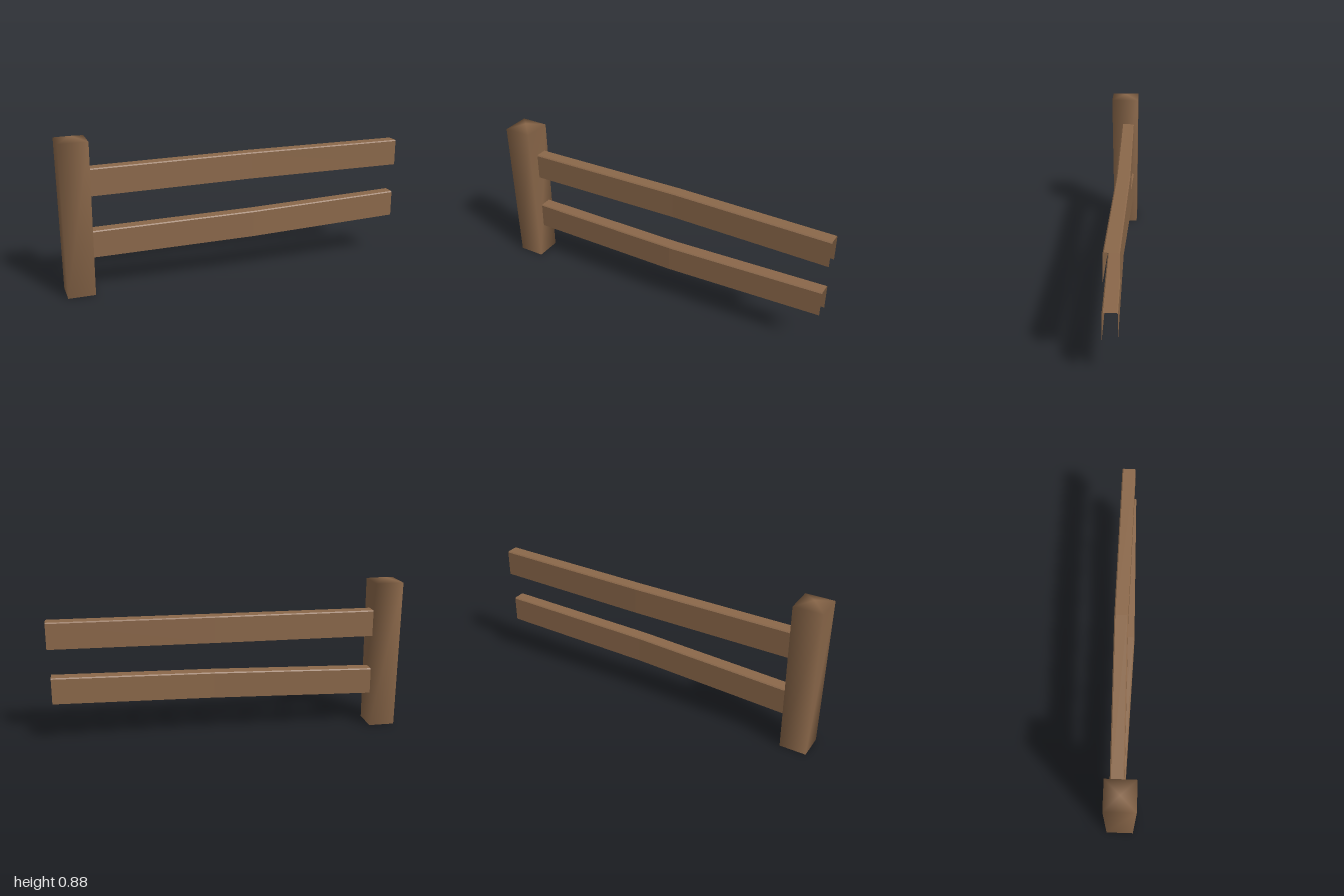
import * as THREE from 'three';

// Skin a list of equal-length point loops/strips with quads
function skin(rows, closed) {
  const n = rows[0].length, idx = [];
  for (let r = 0; r < rows.length - 1; r++) {
    for (let i = 0; i < (closed ? n : n - 1); i++) {
      const j = (i + 1) % n, a = r * n + i, b = r * n + j;
      idx.push(a, b, b + n, a, b + n, a + n);
    }
  }
  const g = new THREE.BufferGeometry();
  g.setAttribute('position', new THREE.Float32BufferAttribute(rows.flat(2), 3));
  g.setIndex(idx);
  return g;
}

// Tapered post with a low pyramid cap; shared corners keep the shading soft
function postGeometry() {
  const ring = (x0, x1, z0, z1, y) => [[x0, y, z1], [x1, y, z1], [x1, y, z0], [x0, y, z0]];
  const g = skin([
    ring(-0.995, -0.845, -0.082, 0.07, 0),
    ring(-1, -0.84, -0.082, 0.083, 0.857),
  ], true);
  const pos = [...g.attributes.position.array, -0.92, 0.877, 0];
  g.setAttribute('position', new THREE.Float32BufferAttribute(pos, 3));
  const idx = [...g.index.array, 0, 2, 1, 0, 3, 2];
  for (let i = 0; i < 4; i++) idx.push(4 + i, 4 + (i + 1) % 4, 8);
  g.setIndex(idx);
  g.computeVertexNormals();
  return g;
}

// Rail: a channel open below and at both ends, bent slightly at mid length
// Each station is [x, bottom y, top y, back z, front z]
function railGeometry(stations) {
  const b = 0.006;
  const rows = stations.map(([x, y0, y1, z0, z1]) => [
    [x, y0, z1], [x, y1 - b, z1], [x, y1, z1 - b],
    [x, y1, z0 + b], [x, y1 - b, z0], [x, y0, z0],
  ]);
  const g = skin(rows.reverse(), false).toNonIndexed();
  g.computeVertexNormals();
  return g;
}

export function createModel() {
  const group = new THREE.Group();
  const wood = new THREE.MeshStandardMaterial({ color: 0x8b684a });
  wood.name = 'brownWood';
  const railWood = wood;
  railWood.side = THREE.DoubleSide;

  const add = (name, geometry) => {
    const mesh = new THREE.Mesh(geometry, wood);
    mesh.name = name;
    group.add(mesh);
  };

  add('post', postGeometry());
  add('upperRail', railGeometry([
    [-0.845, 0.545, 0.696, -0.057, 0.018],
    [0.08, 0.553, 0.704, -0.068, 0.008],
    [0.998, 0.557, 0.707, -0.055, 0.022],
  ]));
  add('lowerRail', railGeometry([
    [-0.845, 0.198, 0.348, -0.06, 0.018],
    [0.08, 0.217, 0.368, -0.033, 0.045],
    [0.987, 0.24, 0.39, -0.046, 0.03],
  ]));
  return group;
}
